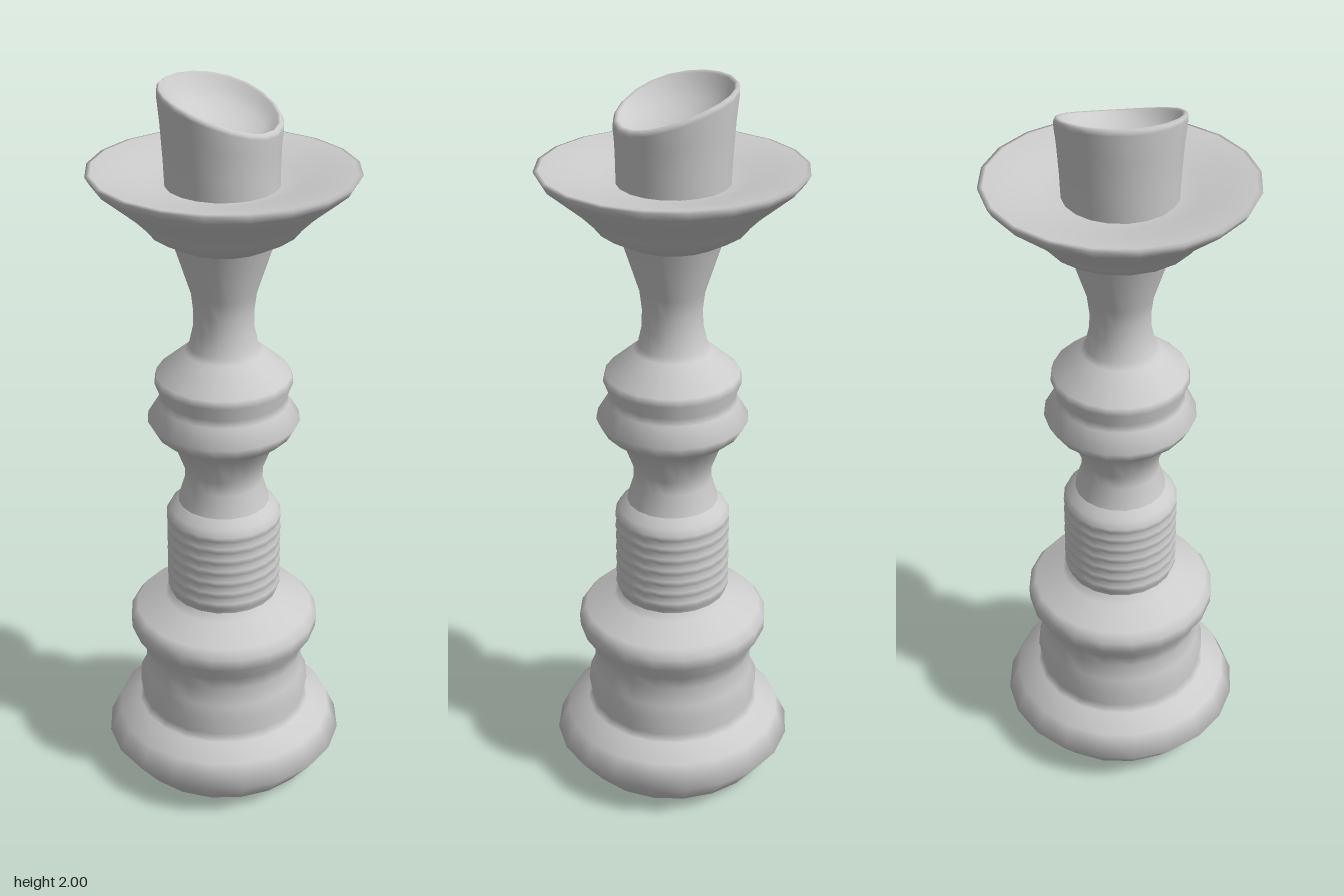
import * as THREE from 'three';
import { mergeVertices } from 'three/addons/utils/BufferGeometryUtils.js';

const SIDES = 20;
const material = new THREE.MeshStandardMaterial({ color: 0xcccccc });

// Turned part from [radius, height] pairs, listed from the bottom outwards and up
function turned(name, profile) {
  const points = profile.map(([r, y]) => new THREE.Vector2(r, y));
  const mesh = new THREE.Mesh(new THREE.LatheGeometry(points, SIDES), material);
  mesh.name = name;
  return mesh;
}

// Short candle stub with a slanted, hollowed top
function candle() {
  const bottom = 1.73;
  // radius and share of the height at that spot
  const profile = [
    [0.146, 0], [0.148, 0.35], [0.152, 0.7], [0.157, 0.94], [0.155, 0.98],
    [0.149, 1], [0.142, 0.98], [0.132, 0.9], [0.105, 0.79], [0.06, 0.71], [0, 0.68],
  ];
  let geometry = new THREE.LatheGeometry(profile.map(([r, t]) => new THREE.Vector2(r, t)), SIDES);
  const pos = geometry.attributes.position;
  for (let i = 0; i < pos.count; i++) {
    const x = pos.getX(i), t = pos.getY(i);
    const top = 1.967 - 0.32 * x - 0.6 * x * x;
    pos.setXYZ(i, x - 0.003 - 0.007 * t, bottom + t * (top - bottom), pos.getZ(i) * (1 + 0.03 * t));
  }
  geometry.deleteAttribute('normal');
  geometry.deleteAttribute('uv');
  geometry = mergeVertices(geometry);
  geometry.computeVertexNormals();
  const mesh = new THREE.Mesh(geometry, material);
  mesh.name = 'candle';
  return mesh;
}

export function createModel() {
  const group = new THREE.Group();
  group.name = 'candlestick';

  // Underside, wide foot and stepped base
  group.add(turned('base', [
    [0, 0], [0.1, 0.002], [0.262, 0.012], [0.27, 0.018], [0.335, 0.1], [0.305, 0.165],
    [0.245, 0.195], [0.233, 0.215], [0.242, 0.27], [0.226, 0.305], [0.222, 0.36],
    [0.23, 0.4], [0.262, 0.45], [0.264, 0.485], [0.245, 0.51], [0.165, 0.545], [0.15, 0.565],
  ]));

  // Ribbed section: a stack of shallow rings
  const ribs = [[0.15, 0.565]];
  const count = 7, start = 0.575, pitch = 0.035;
  for (let i = 0; i < count; i++) {
    const y = start + i * pitch;
    ribs.push([0.152, y], [0.158, y + pitch * 0.35], [0.158, y + pitch * 0.7]);
  }
  ribs.push([0.148, 0.828], [0.125, 0.85]);
  group.add(turned('ribbedSection', ribs));

  // Waist, double knop and slim neck
  group.add(turned('stem', [
    [0.125, 0.85], [0.107, 0.91], [0.107, 0.95], [0.135, 1.025], [0.185, 1.065], [0.205, 1.1],
    [0.175, 1.15], [0.17, 1.17], [0.185, 1.21], [0.18, 1.23], [0.105, 1.295], [0.092, 1.31],
    [0.081, 1.36], [0.08, 1.41], [0.086, 1.46], [0.131, 1.6],
  ]));

  // Shallow drip dish
  group.add(turned('dripDish', [
    [0.131, 1.6], [0.195, 1.635], [0.215, 1.66], [0.245, 1.69], [0.335, 1.765],
    [0.348, 1.787], [0.335, 1.79], [0.27, 1.777], [0.2, 1.762], [0.15, 1.75], [0, 1.74],
  ]));

  group.add(candle());
  return group;
}
